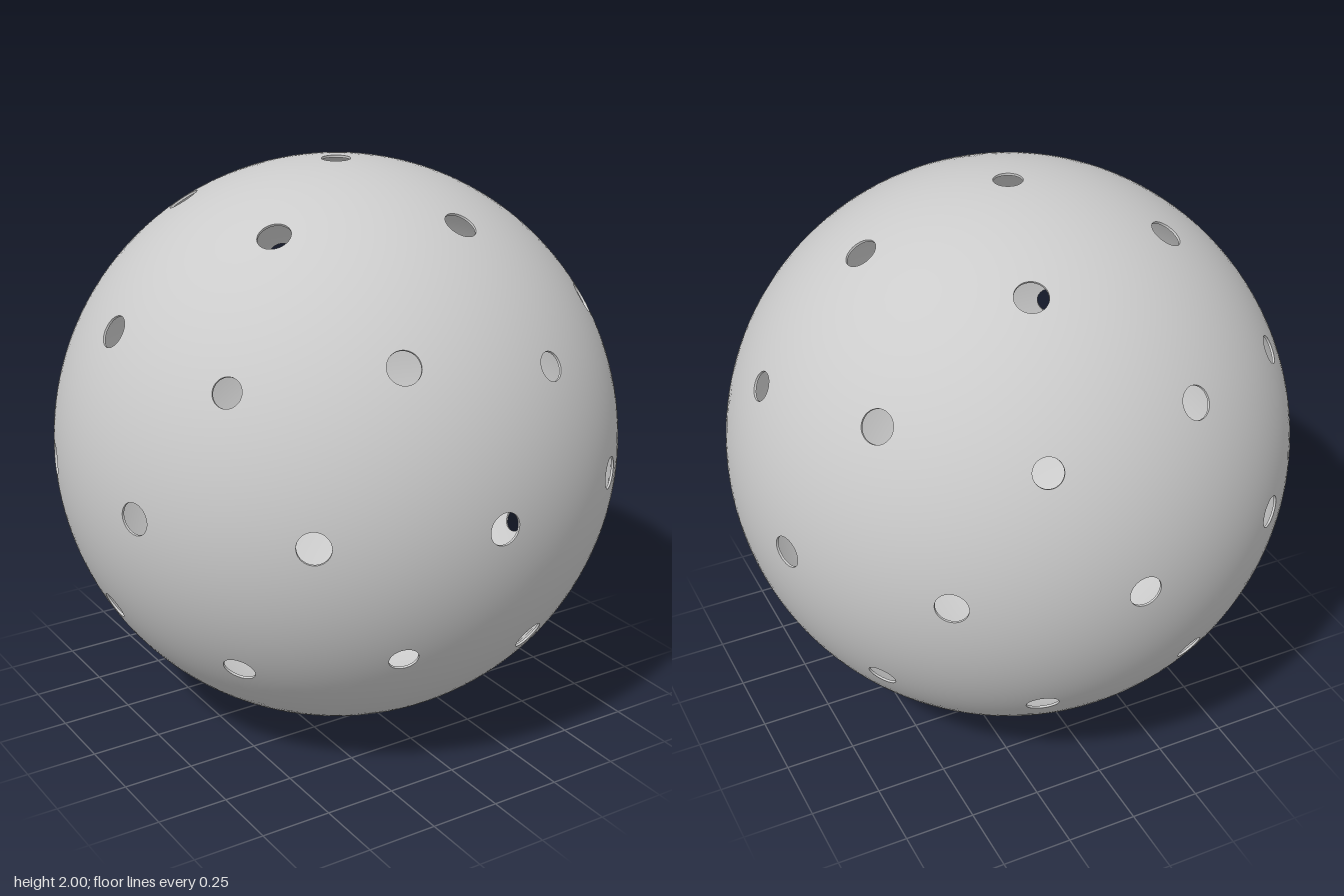
import * as THREE from 'three';

const WALL = 0.008;      // shell thickness
const POLE_HOLE = 0.05;  // angular radius of the 12 holes on the icosahedron corners
const EDGE_HOLE = 0.056; // angular radius of the 30 holes on the edge middles
const ARC = 8;           // steps round a hole within one patch
const RINGS = 6;         // steps from hole rim to patch border

// Icosahedron turned so that one corner points straight up
function icosahedronPoints(detail) {
  const g = new THREE.IcosahedronGeometry(1, detail);
  g.rotateZ(-Math.atan(2 / (1 + Math.sqrt(5))));
  const p = g.attributes.position;
  return Array.from({ length: p.count }, (_, i) => new THREE.Vector3().fromBufferAttribute(p, i).normalize());
}

const blend = (a, b, t) => a.clone().lerp(b, t).normalize();

// Collects grids of {p, n} samples into one smooth-shaded geometry
class Surface {
  positions = [];
  normals = [];
  index = [];

  addGrid(rows, cols, sample) {
    const start = this.positions.length / 3;
    for (let r = 0; r <= rows; r++) {
      for (let c = 0; c <= cols; c++) {
        const { p, n } = sample(r, c);
        this.positions.push(p.x, p.y, p.z);
        this.normals.push(n.x, n.y, n.z);
      }
    }
    for (let r = 0; r < rows; r++) {
      for (let c = 0; c < cols; c++) {
        const a = start + r * (cols + 1) + c;
        const b = a + cols + 1;
        this.index.push(a, b, b + 1, a, b + 1, a + 1);
      }
    }
  }

  build() {
    const g = new THREE.BufferGeometry();
    g.setAttribute('position', new THREE.Float32BufferAttribute(this.positions, 3));
    g.setAttribute('normal', new THREE.Float32BufferAttribute(this.normals, 3));
    g.setIndex(this.index);
    return g;
  }
}

export function createModel() {
  const group = new THREE.Group();
  group.name = 'perforatedBall';
  const material = new THREE.MeshStandardMaterial({ color: 0xcccccc });

  const corners = icosahedronPoints(0);
  const points = icosahedronPoints(1);
  const holeSize = (v) => (corners.some((c) => c.distanceTo(v) < 0.01) ? POLE_HOLE : EDGE_HOLE);

  const outer = new Surface();
  const inner = new Surface();
  const rims = new Surface();

  // Each triangle joins three hole centres; each corner owns a kite-shaped patch
  for (let i = 0; i < points.length; i += 3) {
    const tri = points.slice(i, i + 3);
    const middle = tri[0].clone().add(tri[1]).add(tri[2]).normalize();
    for (let k = 0; k < 3; k++) {
      const hole = tri[k];
      const sideA = blend(hole, tri[(k + 1) % 3], 0.5);
      const sideB = blend(hole, tri[(k + 2) % 3], 0.5);
      const size = holeSize(hole);

      const border = [];
      const rim = [];
      for (let c = 0; c <= ARC; c++) {
        const t = (2 * c) / ARC;
        const q = t <= 1 ? blend(sideA, middle, t) : blend(sideB, middle, 2 - t);
        const away = q.clone().addScaledVector(hole, -q.dot(hole)).normalize();
        border.push(q);
        rim.push(hole.clone().multiplyScalar(Math.cos(size)).addScaledVector(away, Math.sin(size)));
      }
      const at = (r, c) => blend(rim[c], border[c], r / RINGS);

      // Outer skin
      outer.addGrid(RINGS, ARC, (r, c) => {
        const n = at(r, c);
        return { p: n, n };
      });
      // Inner skin, wound the other way
      inner.addGrid(RINGS, ARC, (r, c) => {
        const d = at(r, ARC - c);
        return { p: d.clone().multiplyScalar(1 - WALL), n: d.clone().negate() };
      });
      // Wall of the hole
      rims.addGrid(1, ARC, (r, c) => ({
        p: rim[c].clone().multiplyScalar(r ? 1 : 1 - WALL),
        n: hole.clone().sub(rim[c]).normalize(),
      }));
    }
  }

  for (const [name, surface] of Object.entries({ outerShell: outer, innerShell: inner, holeRims: rims })) {
    const mesh = new THREE.Mesh(surface.build(), material);
    mesh.name = name;
    mesh.position.y = 1;
    group.add(mesh);
  }
  return group;
}
